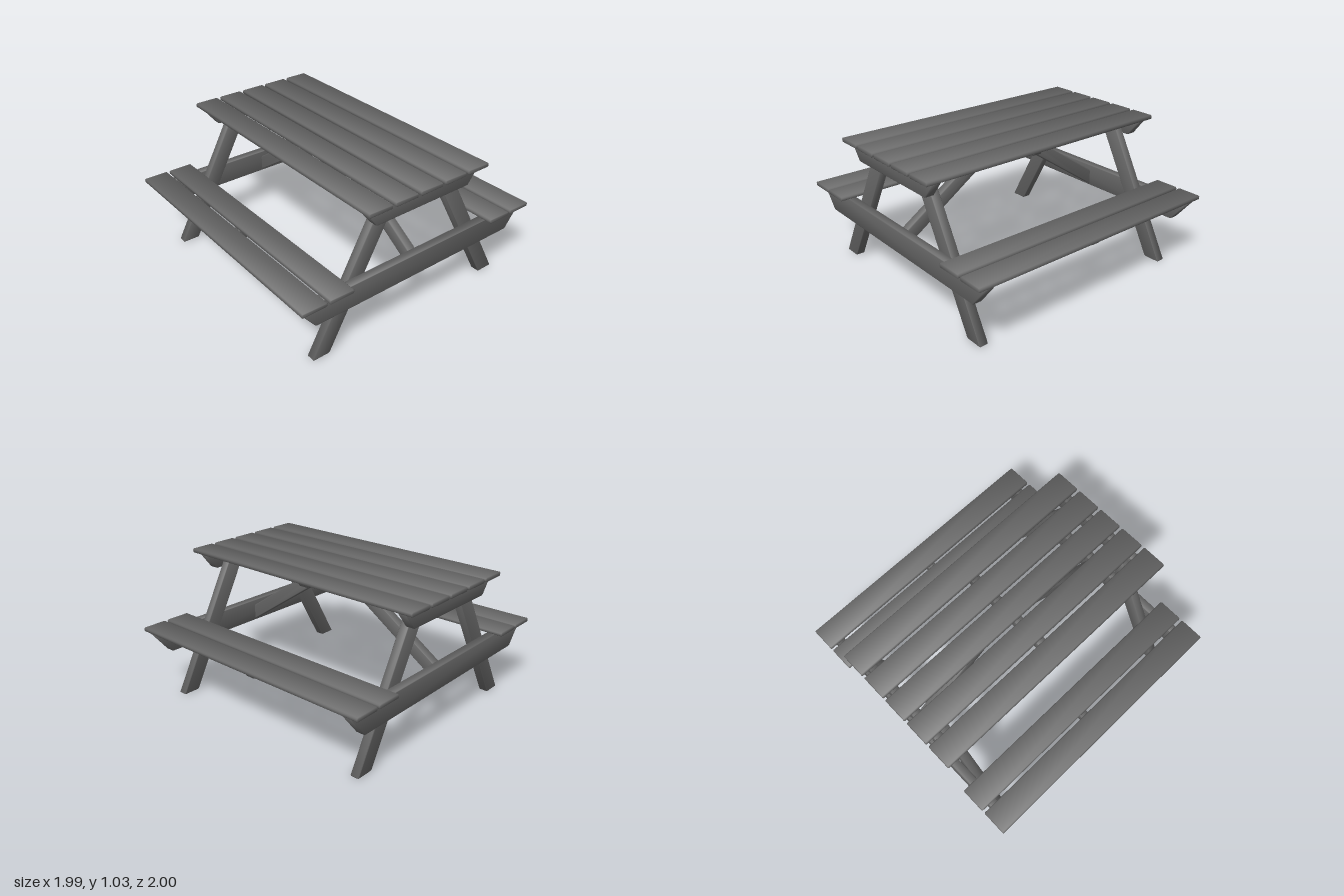
import * as THREE from 'three';

const wood = new THREE.MeshStandardMaterial({ color: 0x686868 });
const BEVEL = 0.004;
const CORNER = 0.007;

// Outline with each corner cut off, so every long edge of the board is eased.
function easedShape(outline) {
  const points = outline.map(([x, y]) => new THREE.Vector2(x, y));
  const toward = (a, b) => b.clone().sub(a).setLength(CORNER).add(a);
  return new THREE.Shape(points.flatMap((p, i) => [
    toward(p, points.at(i - 1)),
    toward(p, points[(i + 1) % points.length]),
  ]));
}

// Average the face normals meeting at each point, so the shading rolls over the edges.
function softenNormals(geometry) {
  const { position, normal } = geometry.attributes;
  const sums = new Map();
  const keys = [];
  for (let i = 0; i < position.count; i++) {
    const p = new THREE.Vector3().fromBufferAttribute(position, i);
    keys[i] = p.toArray().map((v) => Math.round(v * 1e5)).join();
    if (!sums.has(keys[i])) sums.set(keys[i], new THREE.Vector3());
    sums.get(keys[i]).add(new THREE.Vector3().fromBufferAttribute(normal, i));
  }
  sums.forEach((n) => n.normalize());
  keys.forEach((key, i) => normal.setXYZ(i, ...sums.get(key)));
}

// Board with the given outline in x/y, its thickness centred on z.
function board(name, outline, thickness) {
  const geometry = new THREE.ExtrudeGeometry(easedShape(outline), {
    depth: thickness - 2 * BEVEL,
    bevelThickness: BEVEL,
    bevelSize: BEVEL,
    bevelOffset: -BEVEL,
    bevelSegments: 1,
  });
  geometry.translate(0, 0, BEVEL - thickness / 2);
  softenNormals(geometry);
  const mesh = new THREE.Mesh(geometry, wood);
  mesh.name = name;
  return mesh;
}

// Crossbar outline: wide at the top, sloping in to a narrower bottom.
function taper(cx, topHalf, bottomHalf, y0, y1) {
  return [[cx - bottomHalf, y0], [cx + bottomHalf, y0], [cx + topHalf, y1], [cx - topHalf, y1]];
}

export function createModel() {
  const table = new THREE.Group();
  table.name = 'picnicTable';
  const add = (mesh, z = 0) => {
    mesh.position.z = z;
    table.add(mesh);
  };

  // Long planks of the table top and the two benches
  const plank = (name, x, y0, y1) =>
    add(board(name, taper(x, 0.092, 0.092, y0, y1), 2));
  for (let i = -2; i <= 2; i++) plank('tabletopPlank', i * 0.2075, 0.998, 1.029);
  for (const side of [-1, 1]) {
    for (const x of [0.699, 0.9035]) plank('benchPlank', side * x, 0.516, 0.546);
  }

  for (const end of [-1, 1]) {
    // End crossbars under the top and the benches
    add(board('tabletopCrossbar', taper(0, 0.49, 0.393, 0.874, 0.999), 0.064), end * 0.908);
    add(board('benchCrossbar', taper(0, 0.988, 0.852, 0.348, 0.517), 0.064), end * 0.908);

    // Splayed legs, just inside the crossbars
    for (const side of [-1, 1]) {
      const outline = [[0.698, 0], [0.83, 0], [0.284, 0.999], [0.152, 0.999]];
      if (side < 0) outline.reverse();
      add(board('leg', outline.map(([x, y]) => [side * x, y]), 0.065), end * 0.841);
    }

    // Diagonal brace from the middle of the top down to the bench crossbar
    const brace = board('diagonalBrace',
      [[0.02, 0.93], [0.877, 0.36], [0.877, 0.475], [0.085, 0.999], [0.02, 0.999]], 0.064);
    brace.rotation.y = -end * Math.PI / 2;
    add(brace);
  }

  // Middle cleats tying the planks together
  add(board('tabletopCleat', taper(0, 0.43, 0.36, 0.914, 0.999), 0.066), 0.008);
  for (const side of [-1, 1]) {
    add(board('benchCleat', taper(side * 0.801, 0.16, 0.105, 0.446, 0.517), 0.064), -0.023);
  }

  return table;
}
